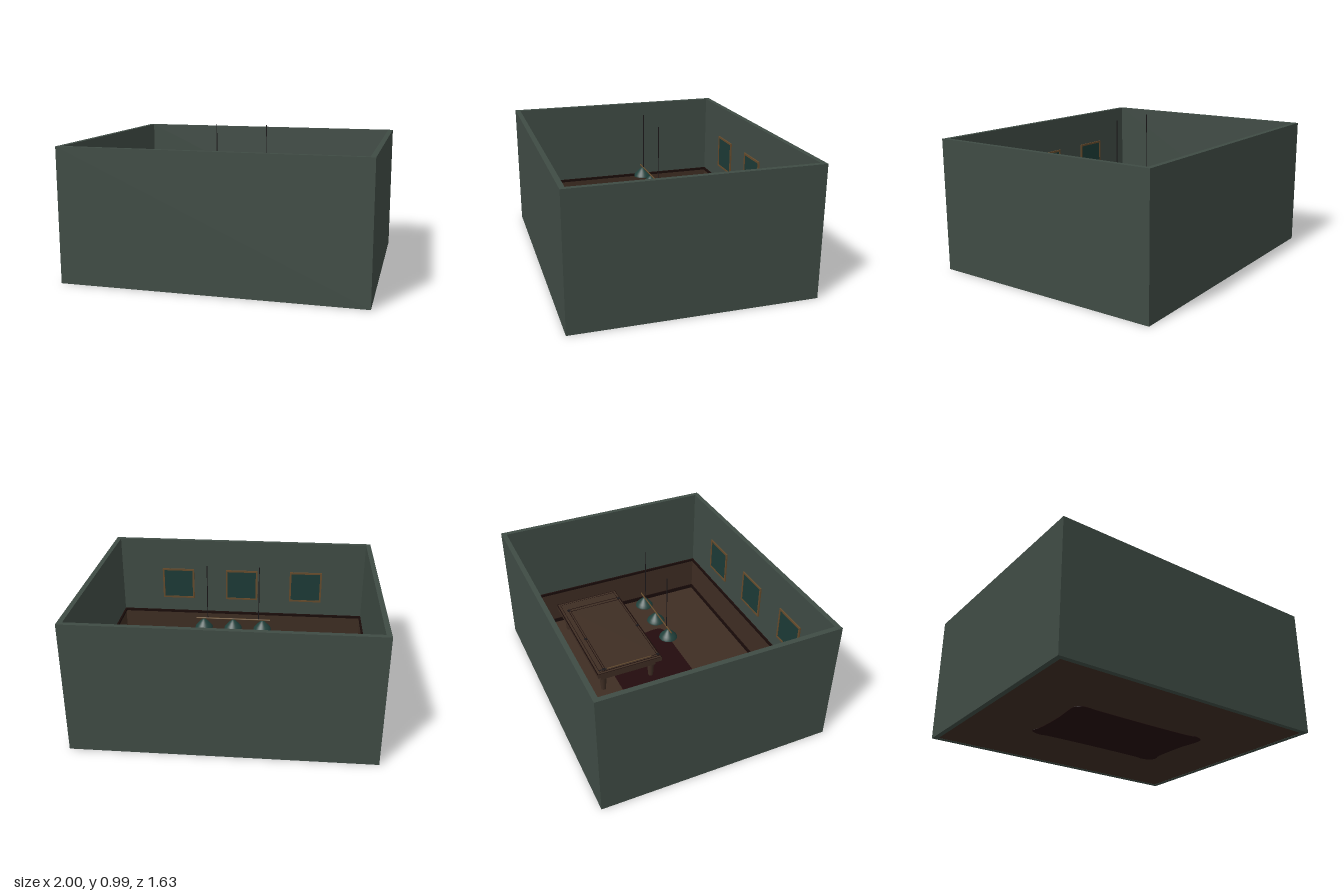
import * as THREE from 'three';

const paint = (name, color, side = THREE.FrontSide) => {
  const m = new THREE.MeshStandardMaterial({ color, side });
  m.name = name;
  return m;
};

export function createModel() {
  const room = new THREE.Group();
  room.name = 'gamesRoom';
  const wallPaint = paint('grey green wall', 0x3f4b44);
  const wood = paint('brown wood', 0x3e2d23);
  const darkWood = paint('dark wood', 0x190b09);
  const rugRed = paint('deep red rug', 0x230b0d);
  const glass = paint('teal shade', 0x20403b, THREE.DoubleSide);
  const brass = paint('old brass', 0x654b2c);
  const canvas = paint('picture teal', 0x1c3a36);
  const metal = paint('dark metal', 0x1b1719);

  const add = (parent, name, geo, mat, x = 0, y = 0, z = 0) => {
    const mesh = new THREE.Mesh(geo, mat);
    mesh.name = name;
    mesh.position.set(x, y, z);
    parent.add(mesh);
    return mesh;
  };
  const box = (parent, name, mat, w, h, d, x, y, z) =>
    add(parent, name, new THREE.BoxGeometry(w, h, d), mat, x, y, z);
  const rect = (shape, w, d) => {
    shape.moveTo(-w / 2, -d / 2);
    shape.lineTo(w / 2, -d / 2);
    shape.lineTo(w / 2, d / 2);
    shape.lineTo(-w / 2, d / 2);
    shape.closePath();
    return shape;
  };
  // Rectangular frame of width t, extruded along +z
  const frameGeo = (w, d, t, depth) => {
    const shape = rect(new THREE.Shape(), w, d);
    shape.holes.push(rect(new THREE.Path(), w - 2 * t, d - 2 * t));
    return new THREE.ExtrudeGeometry(shape, { depth, bevelEnabled: false });
  };
  // The same frame lying flat, from y0 up to y0 + h
  const ring = (parent, name, mat, w, d, t, y0, h, x = 0, z = 0) =>
    add(parent, name, frameGeo(w, d, t, h).rotateX(-Math.PI / 2), mat, x, y0, z);

  // Room shell, wainscot and trims
  ring(room, 'walls', wallPaint, 2, 1.63, 0.034, 0, 0.9);
  ring(room, 'wainscot', wood, 1.932, 1.562, 0.005, 0.003, 0.287);
  ring(room, 'dadoRail', darkWood, 1.932, 1.562, 0.013, 0.28, 0.018);
  ring(room, 'skirting', darkWood, 1.932, 1.562, 0.012, 0.003, 0.033);
  box(room, 'floor', wood, 1.932, 0.003, 1.562, 0, 0.0035, 0);

  // Rug with a gently wavy outline
  const outline = [
    [-0.53, -0.25], [-0.5, -0.285], [-0.44, -0.3], [-0.36, -0.29], [0, -0.285], [0.36, -0.29],
    [0.44, -0.3], [0.51, -0.28], [0.525, -0.23], [0.505, -0.16], [0.505, 0.06], [0.515, 0.14],
    [0.525, 0.22], [0.51, 0.275], [0.44, 0.3], [0.36, 0.285], [0, 0.283], [-0.36, 0.29],
    [-0.44, 0.297], [-0.5, 0.29], [-0.53, 0.25], [-0.525, 0.17], [-0.51, 0.05], [-0.505, -0.1], [-0.51, -0.2],
  ].map(([x, z]) => new THREE.Vector2(x, -z));
  const rugShape = new THREE.Shape();
  rugShape.moveTo(outline[0].x, outline[0].y);
  rugShape.splineThru([...outline.slice(1), outline[0]]);
  add(room, 'rug', new THREE.ExtrudeGeometry(rugShape, { depth: 0.008, bevelEnabled: false })
    .rotateX(-Math.PI / 2), rugRed);

  // Three framed pictures on the front and back walls
  for (const side of [-1, 1]) {
    for (const x of [-0.512, 0, 0.512]) {
      const picture = new THREE.Group();
      picture.name = 'picture';
      picture.position.set(x, 0.535, side * 0.781);
      picture.rotation.y = side > 0 ? Math.PI : 0;
      add(picture, 'pictureFrame', frameGeo(0.255, 0.25, 0.014, 0.01), brass);
      box(picture, 'pictureCanvas', canvas, 0.23, 0.225, 0.006, 0, 0, 0.003);
      room.add(picture);
    }
  }

  // Games table, standing off centre
  const table = new THREE.Group();
  table.name = 'gamesTable';
  table.position.set(0.43, 0, -0.22);
  room.add(table);
  box(table, 'tableTop', wood, 0.94, 0.035, 0.5, 0, 0.1925, 0);
  box(table, 'tableApron', wood, 0.86, 0.06, 0.43, 0, 0.15, 0);
  ring(table, 'edgeLine', darkWood, 0.94, 0.5, 0.004, 0.2, 0.011);
  ring(table, 'outerLine', darkWood, 0.9, 0.46, 0.003, 0.2, 0.011);
  ring(table, 'railLine', darkWood, 0.82, 0.44, 0.004, 0.2, 0.012, -0.04, 0.025);
  ring(table, 'cushionLine', darkWood, 0.77, 0.41, 0.003, 0.2, 0.012, -0.045, 0.025);
  const pocketGeo = new THREE.CylinderGeometry(0.013, 0.013, 0.012, 16);
  for (const x of [-0.43, -0.045, 0.355])
    for (const z of [-0.19, 0.235]) add(table, 'pocket', pocketGeo, metal, x, 0.207, z);
  const legGeo = new THREE.CylinderGeometry(0.028, 0.018, 0.13, 16);
  for (const x of [-0.4, 0.4])
    for (const z of [-0.19, 0.19]) add(table, 'tableLeg', legGeo, wood, x, 0.07, z);

  // Cue lying across the table
  const cue = add(room, 'cue', new THREE.CylinderGeometry(0.003, 0.004, 0.36, 8), brass, -0.005, 0.216, -0.22);
  cue.rotation.x = Math.PI / 2;
  const grip = add(room, 'cueGrip', new THREE.CylinderGeometry(0.004, 0.004, 0.06, 8), metal, -0.005, 0.216, -0.42);
  grip.rotation.x = Math.PI / 2;

  // Hanging lamp: bar, two rods and three shades
  const lamp = new THREE.Group();
  lamp.name = 'hangingLamp';
  room.add(lamp);
  const bar = add(lamp, 'lampBar', new THREE.CylinderGeometry(0.005, 0.005, 0.52, 10), brass, 0, 0.597, 0);
  bar.rotation.z = Math.PI / 2;
  for (const x of [-0.18, 0.18])
    add(lamp, 'lampRod', new THREE.CylinderGeometry(0.003, 0.003, 0.393, 8), metal, x, 0.7935, 0);
  const shadeGeo = new THREE.LatheGeometry(
    [[0.062, 0], [0.059, 0.01], [0.047, 0.025], [0.029, 0.044], [0.015, 0.058], [0.001, 0.065]]
      .map(([r, y]) => new THREE.Vector2(r, y)), 28);
  for (const x of [-0.207, 0, 0.207]) add(lamp, 'lampShade', shadeGeo, glass, x, 0.528, 0);

  return room;
}
